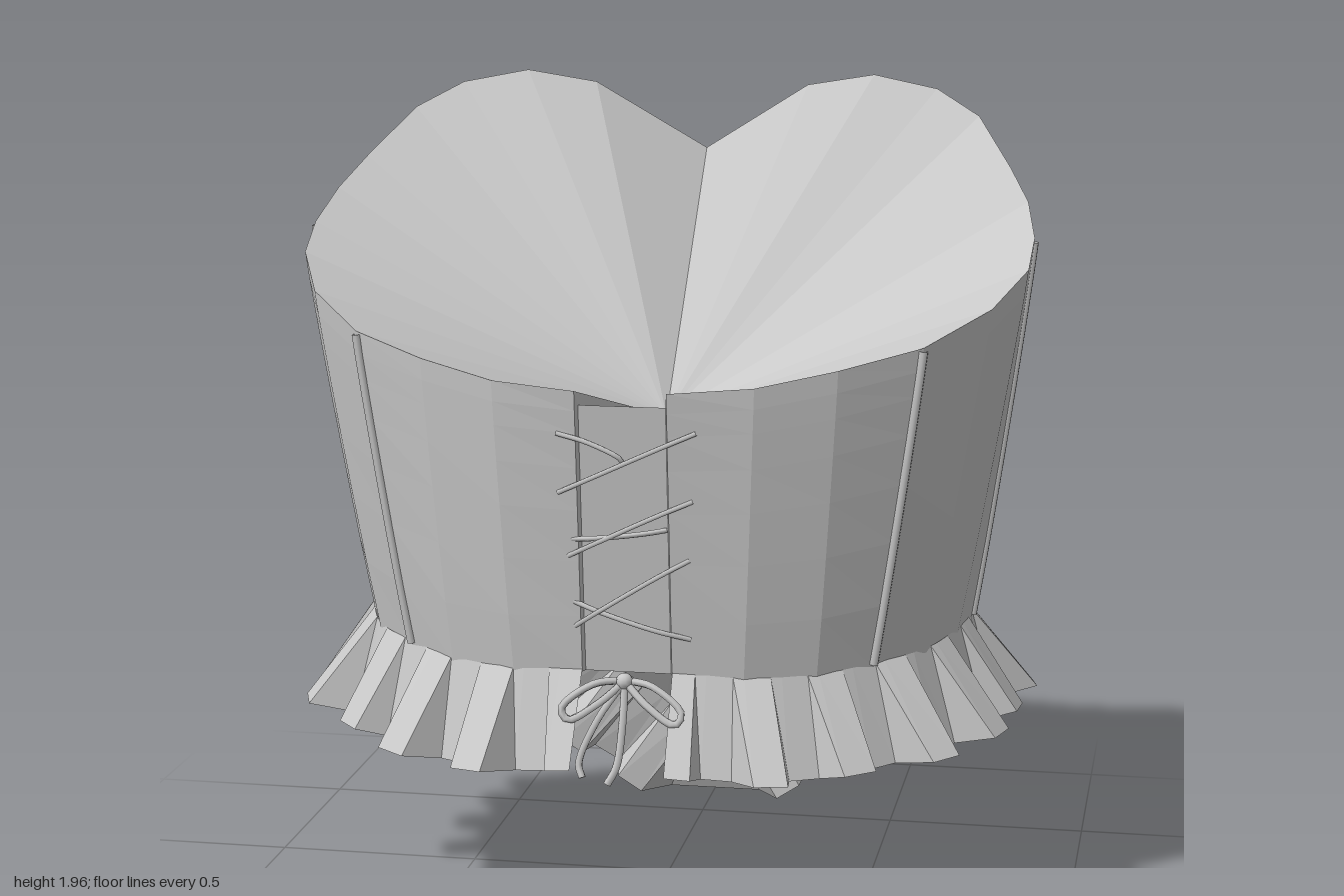
import * as THREE from 'three';

const fabric = new THREE.MeshStandardMaterial({ color: 0xc8c8c8, side: THREE.DoubleSide });
fabric.name = 'grey fabric';

const V = (x, y, z) => new THREE.Vector3(x, y, z);

// Half of the bodice, front to back: rim x,y,z, hem x,y,z, outward bulge
const HALF = [
  [0.10, 1.335, 0.585, 0.10, 0.70, 0.515, 0],
  [0.105, 1.37, 0.605, 0.105, 0.70, 0.53, 0],
  [0.30, 1.385, 0.585, 0.27, 0.69, 0.52, 0.005],
  [0.48, 1.42, 0.525, 0.43, 0.69, 0.46, 0.005],
  [0.66, 1.46, 0.42, 0.55, 0.70, 0.375, 0.005],
  [0.80, 1.53, 0.28, 0.66, 0.71, 0.26, 0.005],
  [0.87, 1.60, 0.12, 0.72, 0.72, 0.10, 0.005],
  [0.875, 1.66, 0.01, 0.74, 0.72, -0.06, 0.005],
  [0.85, 1.73, -0.11, 0.72, 0.72, -0.18, 0.015],
  [0.80, 1.80, -0.20, 0.66, 0.70, -0.30, 0.035],
  [0.71, 1.91, -0.34, 0.57, 0.655, -0.43, 0.065],
  [0.60, 1.97, -0.40, 0.43, 0.55, -0.515, 0.055],
  [0.44, 2.00, -0.43, 0.28, 0.43, -0.57, 0.065],
  [0.27, 1.97, -0.46, 0.12, 0.315, -0.595, 0.07],
  [0, 1.80, -0.54, 0, 0.25, -0.60, 0.055],
];
const mirrorRow = (r) => r.map((v, i) => (i === 0 || i === 3 ? -v : v));
const COLUMNS = [...HALF, ...HALF.slice(0, -1).reverse().map(mirrorRow)];
const LEVELS = [0, 0.07, 0.15, 0.27, 0.42, 0.6, 0.8, 1];

// Point on a column, t = 0 at the rim and 1 at the hem
function columnPoint(r, t) {
  const p = V(r[0], r[1], r[2]).lerp(V(r[3], r[4], r[5]), t);
  const out = V(p.x * 0.6, 0, p.z).normalize();
  return p.addScaledVector(out, r[6] * Math.sqrt(Math.max(0, Math.sin(Math.PI * t))));
}

// Faceted mesh from a list of triangle corners
function faceted(name, corners) {
  const g = new THREE.BufferGeometry().setFromPoints(corners);
  g.computeVertexNormals();
  const m = new THREE.Mesh(g, fabric);
  m.name = name;
  return m;
}
const quad = (list, a, b, c, d) => list.push(a, b, c, a, c, d);

function tube(name, points, radius, segments = 24) {
  const curve = new THREE.CatmullRomCurve3(points);
  const m = new THREE.Mesh(new THREE.TubeGeometry(curve, segments, radius, 6), fabric);
  m.name = name;
  return m;
}

// Outer wall, with fan linings drawn in to the middle from rim and hem
function bodice() {
  const g = new THREE.Group();
  g.name = 'bodice';
  const wall = [], top = [], bottom = [];
  const apex = V(0, 1.21, 0.03), base = V(0, 0.7, -0.26);
  COLUMNS.forEach((c, i) => {
    const n = COLUMNS[(i + 1) % COLUMNS.length];
    for (let k = 0; k + 1 < LEVELS.length; k++) {
      const a = LEVELS[k], b = LEVELS[k + 1];
      quad(wall, columnPoint(c, a), columnPoint(c, b), columnPoint(n, b), columnPoint(n, a));
    }
    top.push(apex, columnPoint(c, 0), columnPoint(n, 0));
    bottom.push(base, columnPoint(n, 1), columnPoint(c, 1));
  });
  g.add(faceted('bodiceWall', wall), faceted('upperLining', top), faceted('lowerLining', bottom));
  return g;
}

// Raised piping along the panel seams
function seams() {
  const g = new THREE.Group();
  g.name = 'seams';
  for (const i of [4, 7, 13]) {
    for (const r of [HALF[i], mirrorRow(HALF[i])]) {
      g.add(tube('seamPiping', LEVELS.map((t) => columnPoint(r, 0.01 + t * 0.98)), 0.011));
    }
  }
  return g;
}

// Pleated frill: a square wave standing off the hem
function ruffle() {
  const hem = new THREE.CatmullRomCurve3(COLUMNS.slice(1, -1).map((r) => V(r[3], r[4], r[5])));
  const steps = 97, inner = [], outer = [];
  for (let i = 0; i <= steps; i++) {
    const high = i % 4 < 2;
    const u = THREE.MathUtils.clamp((i + (i % 2 ? 0.2 : -0.2)) / steps, 0, 1);
    const p = hem.getPointAt(u), tan = hem.getTangentAt(u);
    const out = V(p.x * 0.65, 0, p.z).normalize();
    const down = V(0, 0, 0).crossVectors(out, tan).normalize();
    if (down.y > 0) down.negate();
    const wave = high ? 0.15 + 0.02 * Math.sin(Math.floor(i / 4) * 2.3) : 0.06;
    const back = Math.max(0, -p.z - 0.3) / 0.3;
    inner.push(p.clone().addScaledVector(out, -0.002).addScaledVector(down, -0.01));
    outer.push(p.clone()
      .addScaledVector(out, wave - 0.06 * back)
      .addScaledVector(down, (high ? 0.2 : 0.22) + 0.03 * back));
  }
  const list = [];
  for (let i = 0; i < steps; i++) quad(list, inner[i], outer[i], outer[i + 1], inner[i + 1]);
  return faceted('ruffle', list);
}

// Crossed laces over the front panel
function laces() {
  const g = new THREE.Group();
  g.name = 'laces';
  const zAt = (y) => 0.525 + (y - 0.7) * 0.112;
  const runs = [
    [-0.15, 1.13, 0.17, 1.28], [-0.15, 1.27, 0.0, 1.20],
    [-0.13, 0.98, 0.16, 1.12], [-0.12, 1.02, 0.1, 1.05],
    [-0.12, 0.81, 0.15, 0.98], [-0.12, 0.87, 0.15, 0.79],
  ];
  for (const [x0, y0, x1, y1] of runs) {
    const ym = (y0 + y1) / 2;
    g.add(tube('lace', [V(x0, y0, zAt(y0)), V(x0 * 0.5, (y0 + ym) / 2, zAt(ym) + 0.015),
      V(x1 * 0.5, (y1 + ym) / 2, zAt(ym) + 0.015), V(x1, y1, zAt(y1))], 0.006, 12));
  }
  return g;
}

function bow() {
  const g = new THREE.Group();
  g.name = 'bow';
  for (const s of [-1, 1]) {
    g.add(tube('bowLoop', [V(0, 0.69, 0.55), V(s * 0.07, 0.685, 0.58), V(s * 0.14, 0.63, 0.6),
      V(s * 0.125, 0.605, 0.605), V(s * 0.06, 0.64, 0.59), V(0, 0.69, 0.56)], 0.009));
  }
  g.add(tube('bowTail', [V(0, 0.69, 0.56), V(-0.06, 0.6, 0.585), V(-0.1, 0.5, 0.6), V(-0.09, 0.47, 0.61)], 0.009));
  g.add(tube('bowTail', [V(0, 0.69, 0.56), V(0.0, 0.6, 0.585), V(-0.01, 0.5, 0.61), V(-0.03, 0.46, 0.62)], 0.009));
  const knot = new THREE.Mesh(new THREE.SphereGeometry(0.02, 10, 8), fabric);
  knot.name = 'bowKnot';
  knot.position.set(0, 0.69, 0.56);
  g.add(knot);
  return g;
}

// Domed buttons down the back
function buttons() {
  const g = new THREE.Group();
  g.name = 'buttons';
  const row = HALF[HALF.length - 1];
  for (const y of [1.64, 1.31, 0.98, 0.69, 0.42]) {
    const b = new THREE.Mesh(new THREE.SphereGeometry(0.028, 12, 8), fabric);
    b.name = 'button';
    b.scale.z = 0.6;
    b.position.copy(columnPoint(row, (1.8 - y) / 1.55));
    g.add(b);
  }
  return g;
}

export function createModel() {
  const model = new THREE.Group();
  model.name = 'corset';
  model.add(bodice(), seams(), ruffle(), laces(), bow(), buttons());
  return model;
}
